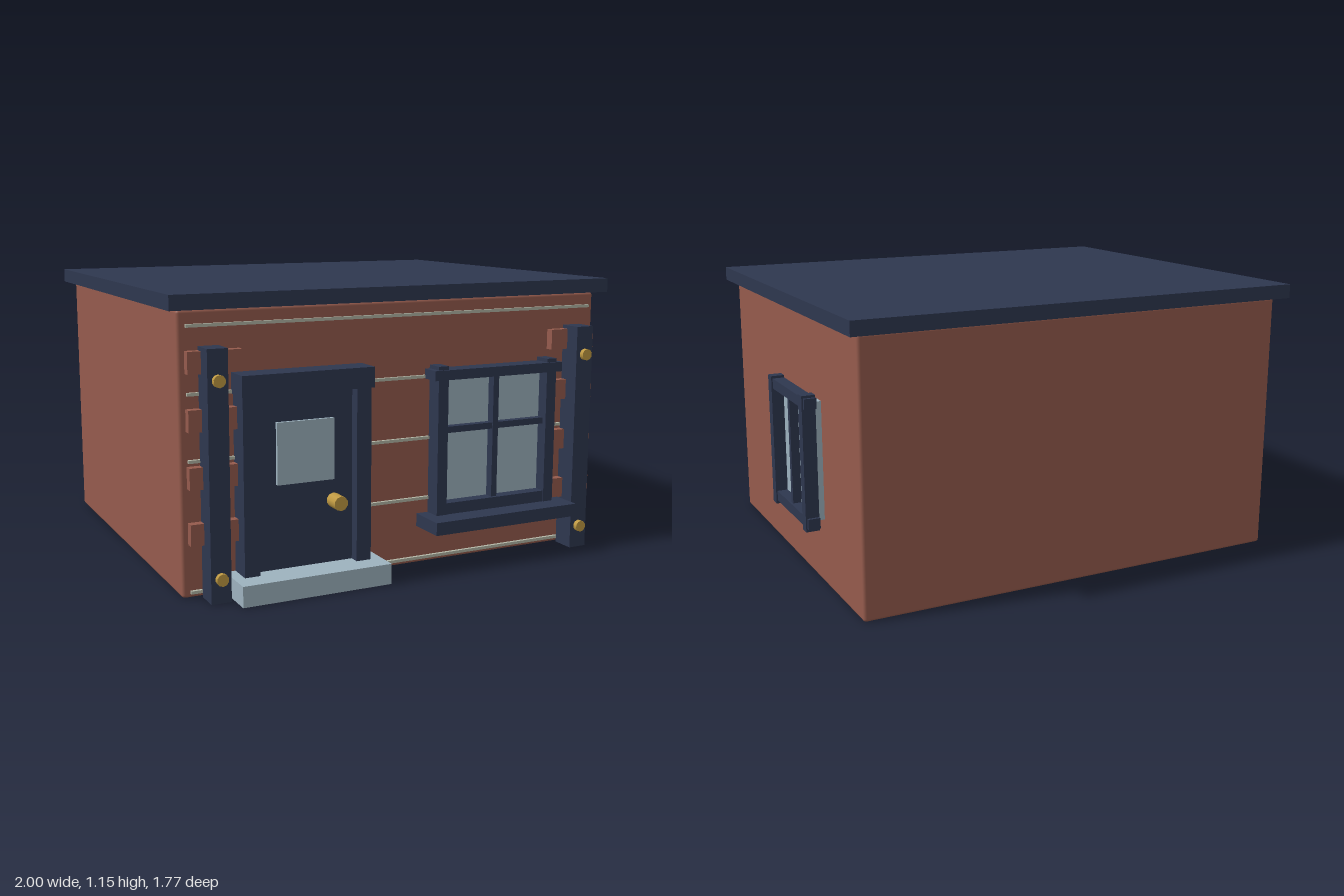
import * as THREE from 'three';
import { RoundedBoxGeometry } from 'three/addons/geometries/RoundedBoxGeometry.js';

const mat = (name, color) => {
  const m = new THREE.MeshStandardMaterial({ color });
  m.name = name;
  return m;
};

export function createModel() {
  const brick = mat('brick red', 0x955b4d);
  const navy = mat('dark navy', 0x2e374f);
  const pale = mat('pale blue grey', 0x9db2be);
  const gold = mat('brass', 0xc09a42);
  const mortar = mat('mortar', 0xb2b5a6);

  const house = new THREE.Group();
  house.name = 'house';

  const group = (name) => {
    const g = new THREE.Group();
    g.name = name;
    house.add(g);
    return g;
  };
  // Box given by its limits on each axis
  const box = (parent, name, material, [x0, x1], [y0, y1], [z0, z1]) => {
    const m = new THREE.Mesh(new THREE.BoxGeometry(x1 - x0, y1 - y0, z1 - z0), material);
    m.position.set((x0 + x1) / 2, (y0 + y1) / 2, (z0 + z1) / 2);
    m.name = name;
    parent.add(m);
    return m;
  };
  // Short faceted stud pointing forwards
  const stud = (parent, name, x, y, z0, z1, r) => {
    const geo = new THREE.CylinderGeometry(r, r, z1 - z0, 10).rotateX(Math.PI / 2);
    const m = new THREE.Mesh(geo, gold);
    m.position.set(x, y, (z0 + z1) / 2);
    m.name = name;
    parent.add(m);
  };

  // Walls and flat roof
  const walls = new THREE.Mesh(new RoundedBoxGeometry(1.866, 1.088, 1.531, 2, 0.012), brick);
  walls.position.set(-0.027, 0.548, -0.0715);
  walls.name = 'walls';
  house.add(walls);
  box(house, 'roof', navy, [-1, 0.95], [1.094, 1.152], [-0.887, 0.736]);

  // Horizontal mortar lines on the facade
  const lines = group('mortarLines');
  for (const y of [0.028, 0.28, 0.531, 0.783, 1.035])
    box(lines, 'mortarLine', mortar, [-0.93, 0.875], [y - 0.006, y + 0.006], [0.698, 0.711]);

  // Corner bricks, pillars and their brass studs
  for (const [side, bx, px] of [['right', -0.83, -0.845], ['left', 0.773, 0.786]]) {
    const g = group(side + 'Pillar');
    for (const y of [0.258, 0.472, 0.688, 0.903])
      box(g, 'cornerBrick', brick, [bx - 0.107, bx + 0.107], [y - 0.042, y + 0.042], [0.706, 0.74]);
    box(g, 'post', navy, [px - 0.04, px + 0.04], [0.005, 0.96], [0.708, 0.806]);
    for (const y of [0.1, 0.843]) stud(g, 'stud', px, y, 0.8, 0.826, 0.024);
  }

  // Door with frame, pane, knob and step
  const door = group('door');
  box(door, 'doorPanel', navy, [-0.69, -0.275], [0.05, 0.78], [0.7, 0.755]);
  box(door, 'doorPane', pale, [-0.6, -0.362], [0.42, 0.662], [0.75, 0.768]);
  for (const x of [-0.717, -0.248])
    box(door, 'doorPost', navy, [x - 0.031, x + 0.031], [0.01, 0.78], [0.7, 0.798]);
  box(door, 'lintel', navy, [-0.755, -0.21], [0.775, 0.855], [0.7, 0.812]);
  stud(door, 'knob', -0.36, 0.335, 0.75, 0.826, 0.029);
  box(door, 'step', pale, [-0.79, -0.17], [0.004, 0.086], [0.698, 0.885]);

  // Front window
  const win = group('frontWindow');
  box(win, 'glass', pale, [0.12, 0.64], [0.24, 0.79], [0.7, 0.725]);
  for (const x of [0.118, 0.642])
    box(win, 'windowPost', navy, [x - 0.023, x + 0.023], [0.2, 0.83], [0.705, 0.778]);
  box(win, 'topRail', navy, [0.073, 0.687], [0.775, 0.815], [0.705, 0.788]);
  box(win, 'bottomRail', navy, [0.095, 0.665], [0.215, 0.265], [0.705, 0.775]);
  box(win, 'verticalBar', navy, [0.366, 0.392], [0.24, 0.79], [0.705, 0.762]);
  box(win, 'crossBar', navy, [0.12, 0.64], [0.553, 0.579], [0.705, 0.758]);
  box(win, 'sill', navy, [0.042, 0.722], [0.165, 0.218], [0.705, 0.868]);

  // Side window
  const side = group('sideWindow');
  box(side, 'glass', pale, [0.915, 0.95], [0.29, 0.77], [-0.455, -0.075]);
  for (const z of [-0.071, -0.457])
    box(side, 'windowPost', navy, [0.945, 1], [0.257, 0.803], [z - 0.021, z + 0.021]);
  for (const y of [0.291, 0.772])
    box(side, 'rail', navy, [0.945, 0.994], [y - 0.021, y + 0.021], [-0.491, -0.037]);
  box(side, 'verticalBar', navy, [0.945, 0.985], [0.29, 0.77], [-0.276, -0.253]);

  return house;
}
